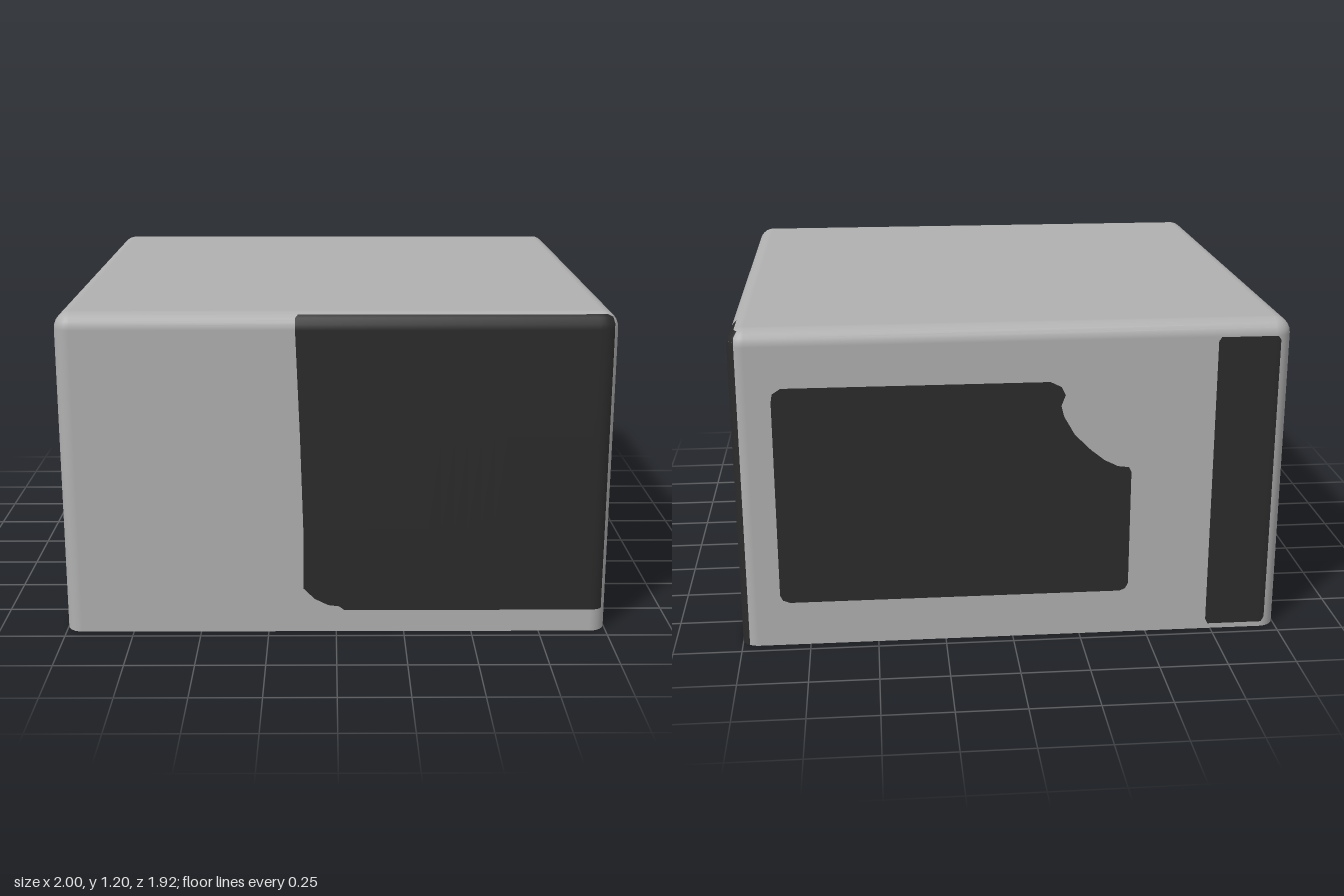
import * as THREE from 'three';

const W = 1, D = 0.96, H = 1.2, R = 0.06; // half width, half depth, height, edge radius
const SEG = 6;

const grey = new THREE.MeshStandardMaterial({ name: 'coverGrey', color: 0xb0b0b0, side: THREE.DoubleSide });
const black = new THREE.MeshStandardMaterial({ name: 'patchBlack', color: 0x2b2b2b, side: THREE.DoubleSide });

// Open-bottomed box with rounded upright and top edges, built from stacked rings
function shellGeometry() {
  const pos = [], nor = [], idx = [];
  const n = 4 * (SEG + 1);
  const ring = (y, phi) => {
    for (let q = 0; q < 4; q++) {
      for (let s = 0; s <= SEG; s++) {
        const a = (q + s / SEG) * Math.PI / 2;
        const nx = Math.cos(a) * Math.cos(phi), nz = Math.sin(a) * Math.cos(phi);
        const sx = q === 0 || q === 3 ? 1 : -1, sz = q < 2 ? 1 : -1;
        pos.push(sx * (W - R) + nx * R, y, sz * (D - R) + nz * R);
        nor.push(nx, Math.sin(phi), nz);
      }
    }
  };
  ring(0, 0);
  for (let k = 0; k <= SEG; k++) {
    const phi = k / SEG * Math.PI / 2;
    ring(H - R + R * Math.sin(phi), phi);
  }
  for (let r = 0; r <= SEG; r++) {
    for (let i = 0; i < n; i++) {
      const a = r * n + i, b = r * n + (i + 1) % n;
      idx.push(a, a + n, b, b, a + n, b + n);
    }
  }
  // flat top
  const t = (SEG + 1) * n;
  for (let i = 1; i < n - 1; i++) idx.push(t, t + i + 1, t + i);
  const g = new THREE.BufferGeometry();
  g.setAttribute('position', new THREE.Float32BufferAttribute(pos, 3));
  g.setAttribute('normal', new THREE.Float32BufferAttribute(nor, 3));
  g.setIndex(idx);
  return g;
}

// Thin patch hugging one wall; each row is [height, left, right], from top to bottom
function patchGeometry(rows, halfWidth, halfDepth, lift) {
  const cols = 36;
  const g = new THREE.PlaneGeometry(1, 1, cols, rows.length - 1);
  const p = g.attributes.position;
  const c = new THREE.Vector3(), v = new THREE.Vector3();
  for (let r = 0; r < rows.length; r++) {
    const [y, left, right] = rows[r];
    for (let i = 0; i <= cols; i++) {
      const x = left + (right - left) * (1 - Math.cos(Math.PI * i / cols)) / 2;
      c.set(THREE.MathUtils.clamp(x, R - halfWidth, halfWidth - R), Math.min(y, H - R), halfDepth - R);
      v.set(x - c.x, y - c.y, 0);
      v.z = Math.sqrt(Math.max(0, R * R - v.lengthSq()));
      v.setLength(R + lift).add(c);
      p.setXYZ(r * (cols + 1) + i, v.x, v.y, v.z);
    }
  }
  g.computeVertexNormals();
  return g;
}

export function createModel() {
  const model = new THREE.Group();
  model.name = 'boxCover';

  const shell = new THREE.Mesh(shellGeometry(), grey);
  shell.name = 'shell';
  model.add(shell);

  const patches = [
    { name: 'frontPatch', turn: 0, w: W, d: D, rows: [
      [1.19, -0.135, 0.955], [1.18, -0.145, 0.975], [1.16, -0.145, 0.98], [1.14, -0.145, 0.98],
      [0.75, -0.13, 0.98], [0.4, -0.12, 0.98], [0.17, -0.12, 0.98], [0.13, -0.08, 0.98],
      [0.105, -0.03, 0.98], [0.1, 0.01, 0.98], [0.085, 0.03, 0.98]] },
    { name: 'backPatch', turn: Math.PI, w: W, d: D, rows: [
      [0.99, -0.82, 0.13], [0.97, -0.85, 0.17], [0.94, -0.855, 0.185], [0.9, -0.855, 0.17],
      [0.86, -0.855, 0.18], [0.79, -0.855, 0.22], [0.73, -0.855, 0.28], [0.69, -0.855, 0.33],
      [0.665, -0.855, 0.38], [0.66, -0.855, 0.42], [0.64, -0.855, 0.43], [0.2, -0.855, 0.43],
      [0.18, -0.845, 0.42], [0.17, -0.82, 0.4]] },
    { name: 'backStrip', turn: Math.PI, w: W, d: D, rows: [
      [1.14, 0.74, 0.945], [1.125, 0.73, 0.955], [0.04, 0.73, 0.955], [0.02, 0.74, 0.945]] },
    { name: 'sideStrip', turn: Math.PI / 2, w: D, d: W, rows: [
      [1.19, 0.775, 0.925], [1.17, 0.77, 0.94], [1.14, 0.77, 0.95], [0, 0.77, 0.95]] },
  ];

  // Every patch shows on the outside and the inside of the wall
  for (const { name, turn, w, d, rows } of patches) {
    const group = new THREE.Group();
    group.name = name;
    group.rotation.y = turn;
    for (const [side, lift] of [['Outside', 0.002], ['Inside', -0.003]]) {
      const mesh = new THREE.Mesh(patchGeometry(rows, w, d, lift), black);
      mesh.name = name + side;
      group.add(mesh);
    }
    model.add(group);
  }
  return model;
}
